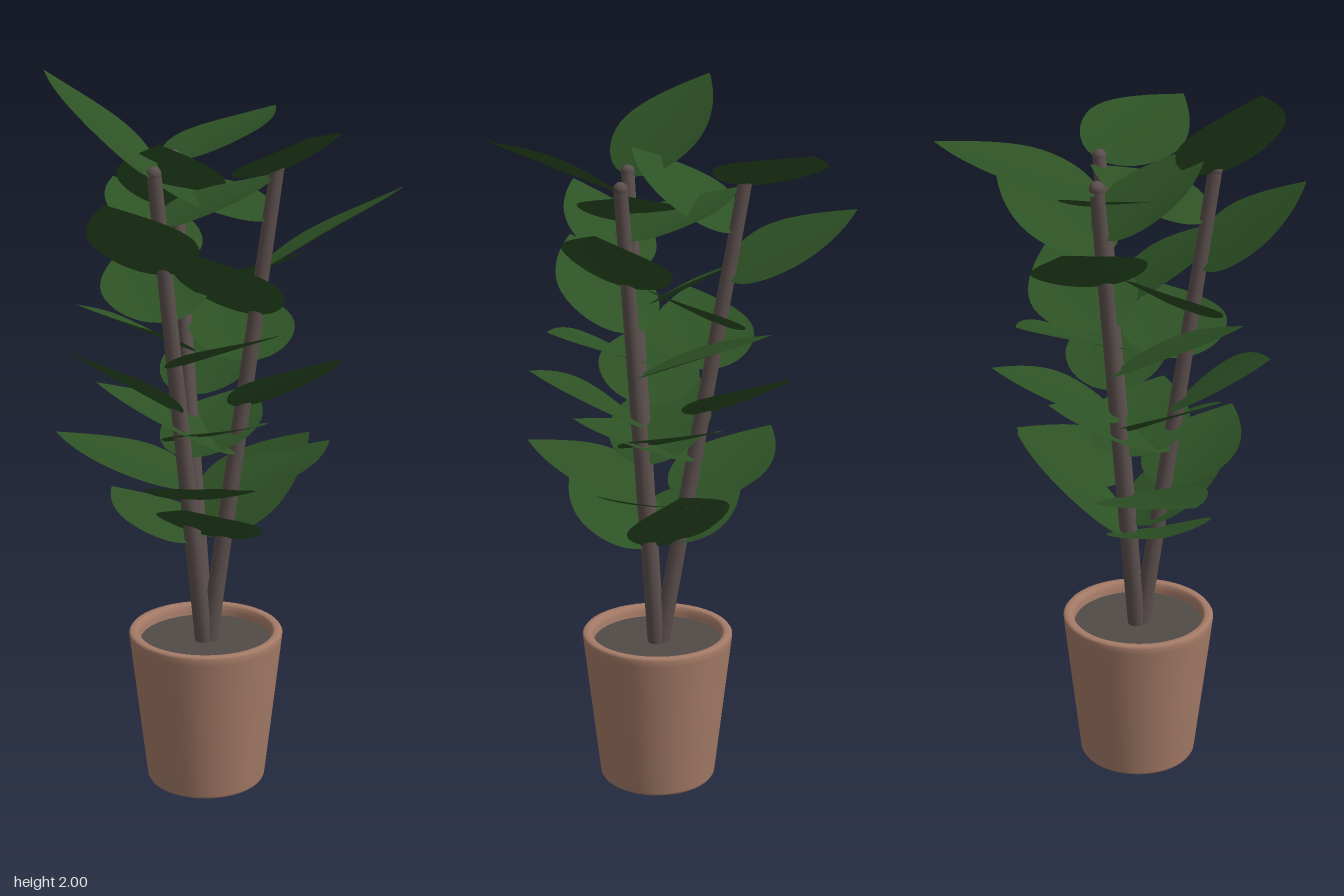
import * as THREE from 'three';

const mat = (name, color, side = THREE.FrontSide) => {
  const m = new THREE.MeshStandardMaterial({ color, side });
  m.name = name;
  return m;
};

// Gently cupped ovate leaf of unit length along +x, bent from a plane
function leafGeometry() {
  const edge = new THREE.Path();
  edge.moveTo(0, 0);
  edge.bezierCurveTo(0.0, 0.22, 0.2, 0.37, 0.4, 0.37);
  edge.bezierCurveTo(0.6, 0.365, 0.84, 0.18, 1, 0);
  const geo = new THREE.PlaneGeometry(1, 2, 20, 6).rotateX(-Math.PI / 2);
  const pos = geo.attributes.position;
  for (let i = 0; i < pos.count; i++) {
    const p = edge.getPoint(pos.getX(i) + 0.5);
    const z = p.y * pos.getZ(i);
    pos.setXYZ(i, p.x, 0.25 * z * z, z);
  }
  geo.computeVertexNormals();
  return geo;
}

// One row per leaf from bottom to top: heading in degrees (from +x towards +z), reach, rise, roll slope
const STEMS = [
  { name: 'frontStem', foot: [-0.033, 0.069], top: [-0.13, 0.23], leaves: [
    [208, 0.30, 0.105, -0.15], [66, 0.35, 0.14, 0.10], [293, 0.34, 0.13, 0.05],
    [155, 0.29, 0.18, -0.25], [18, 0.31, 0.12, 0.12], [240, 0.32, 0.17, 0.15],
    [108, 0.29, 0.22, -0.15], [324, 0.34, 0.12, 0.05], [193, 0.313, 0.263, -0.18]] },
  { name: 'leftStem', foot: [-0.024, 0.062], top: [0.16, 0.045], leaves: [
    [99, 0.31, 0.18, 0.0], [-41, 0.33, 0.11, 0.13], [166, 0.38, 0.20, 0.05],
    [29, 0.32, 0.18, 0.17], [252, 0.38, 0.145, 0.04], [114, 0.34, 0.22, -0.08],
    [-24, 0.392, 0.205, 0.21], [199, 0.38, 0.11, 0.05], [70, 0.365, 0.125, -0.33]] },
  { name: 'backStem', foot: [-0.033, 0.057], top: [-0.155, -0.14], leaves: [
    [325, 0.35, 0.25, -0.35], [184, 0.41, 0.13, 0.0], [51, 0.34, 0.12, 0.0],
    [286, 0.34, 0.165, 0.05], [136, 0.35, 0.165, 0.05], [358, 0.34, 0.15, 0.22],
    [226, 0.36, 0.18, -0.25], [86, 0.33, 0.21, 0.05], [-56, 0.41, 0.125, 0.09]] },
];

export function createModel() {
  const model = new THREE.Group();
  const clay = mat('terracotta', 0xa67c68);
  const soilMat = mat('soil', 0x524b48);
  const bark = mat('bark', 0x5c504e);
  const green = mat('leafGreen', 0x2d5225, THREE.DoubleSide);
  const add = (parent, name, geo, material) => {
    const mesh = new THREE.Mesh(geo, material);
    mesh.name = name;
    parent.add(mesh);
    return mesh;
  };

  // Pot with rounded rim and hollow inside
  const potGroup = new THREE.Group();
  potGroup.name = 'pottedBase';
  potGroup.position.set(-0.03, 0, 0.063);
  model.add(potGroup);
  const profile = [[0, 0], [0.155, 0], [0.163, 0.002], [0.168, 0.01], [0.192, 0.22], [0.215, 0.425],
    [0.217, 0.443], [0.212, 0.45], [0.196, 0.45], [0.189, 0.445], [0.186, 0.43], [0.182, 0.39]];
  add(potGroup, 'pot', new THREE.LatheGeometry(profile.map(p => new THREE.Vector2(...p)), 48), clay);
  add(potGroup, 'soil', new THREE.CircleGeometry(0.186, 48).rotateX(-Math.PI / 2), soilMat).position.y = 0.418;

  // Three leaning stems, each with a spiral of leaves
  const leafGeo = leafGeometry();
  const up = new THREE.Vector3(0, 1, 0);
  for (const { name, foot, top, leaves } of STEMS) {
    const group = new THREE.Group();
    group.name = name + 'Group';
    model.add(group);
    const a = new THREE.Vector3(foot[0], 0.4, foot[1]);
    const b = new THREE.Vector3(top[0], 1.75, top[1]);
    const axis = b.clone().sub(a);
    const stem = add(group, name, new THREE.CylinderGeometry(0.019, 0.025, axis.length(), 14), bark);
    stem.position.copy(a).lerp(b, 0.5);
    stem.quaternion.setFromUnitVectors(up, axis.clone().normalize());
    add(group, 'stemTip', new THREE.SphereGeometry(0.02, 14, 10), bark).position.copy(b);

    leaves.forEach(([heading, reach, rise, roll], i) => {
      const y = 0.72 + i * 0.1275;
      const h = THREE.MathUtils.degToRad(heading);
      const along = new THREE.Vector3(Math.cos(h) * reach, rise, Math.sin(h) * reach);
      const length = along.length();
      along.normalize();
      // Width direction tilted by the roll, kept square to the leaf
      const across = new THREE.Vector3(-Math.sin(h), roll, Math.cos(h));
      across.addScaledVector(along, -across.dot(along)).normalize();
      const normal = across.clone().cross(along);
      const leaf = add(group, 'leaf', leafGeo, green);
      leaf.quaternion.setFromRotationMatrix(new THREE.Matrix4().makeBasis(along, normal, across));
      leaf.scale.set(length, 0.4, 0.4);
      leaf.position.copy(a).lerp(b, (y - a.y) / (b.y - a.y));
    });
  }
  return model;
}
